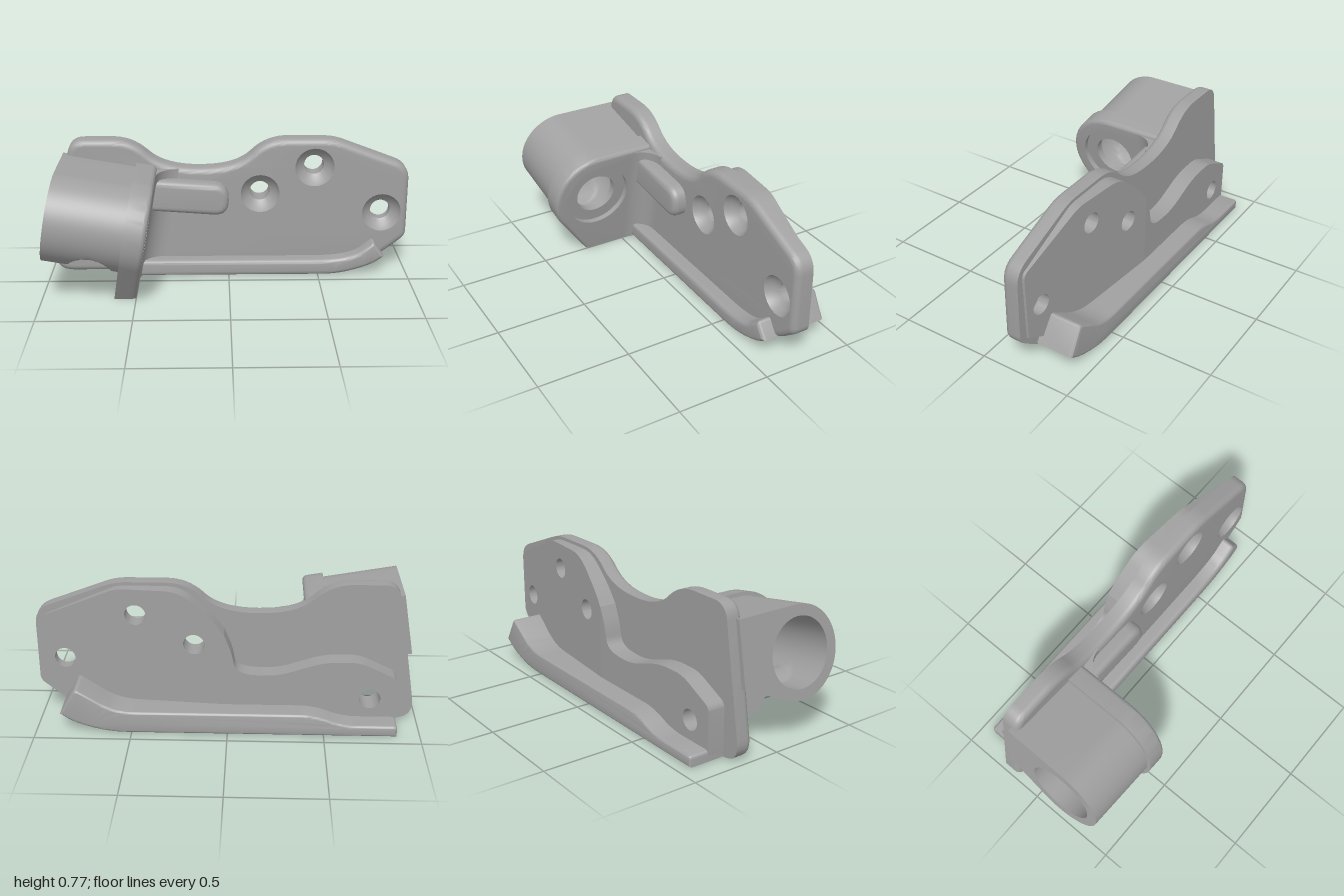
import * as THREE from 'three';
import { toCreasedNormals } from 'three/addons/utils/BufferGeometryUtils.js';

const metal = new THREE.MeshStandardMaterial({ color: 0xa0a0a0 });
metal.name = 'cast grey';

// Closed outline from corners [x, y, cornerRadius], counter-clockwise
function rounded(corners) {
  const out = [], n = corners.length;
  const add = (p) => {
    if (!out.length || out[out.length - 1].distanceTo(p) > 1e-4) out.push(p);
  };
  const V = corners.map(([x, y]) => new THREE.Vector2(x, y));
  corners.forEach(([, , r = 0], i) => {
    const p = V[i], a = V[(i + n - 1) % n], b = V[(i + 1) % n];
    if (!r) return add(p.clone());
    const da = p.distanceTo(a), db = p.distanceTo(b);
    const s = p.clone().lerp(a, Math.min(r / da, 0.49));
    const e = p.clone().lerp(b, Math.min(r / db, 0.49));
    const curve = new THREE.QuadraticBezierCurve(s, p, e);
    curve.getPoints(8).forEach(add);
  });
  if (out[0].distanceTo(out[out.length - 1]) < 1e-4) out.pop();
  return out;
}

// Move an outline inwards
function inset(pts, d) {
  const n = pts.length;
  const normal = (a, b) => new THREE.Vector2(b.y - a.y, a.x - b.x).normalize();
  return pts.map((p, i) => {
    const n1 = normal(pts[(i + n - 1) % n], p), n2 = normal(p, pts[(i + 1) % n]);
    const k = d / Math.max(0.4, 1 + n1.dot(n2));
    return new THREE.Vector2(p.x - (n1.x + n2.x) * k, p.y - (n1.y + n2.y) * k);
  });
}

const circle = (x, y, r, n = 40) => Array.from({ length: n }, (_, i) => {
  const a = -i / n * Math.PI * 2;
  return new THREE.Vector2(x + r * Math.cos(a), y + r * Math.sin(a));
});

// Solid between z0 and z1 with rounded back (r0) and front (r1) edges.
// Each hole is { x, y, profile: [[radius, z], ...] } from back to front.
function slab(name, outline, z0, z1, { r0 = 0, r1 = 0, holes = [], steps = 1, warp, matrix } = {}) {
  const pos = [], rings = [], N = 6;
  const put = (p, z) => pos.push(p.x, p.y, z);
  const strip = (list) => {
    for (let i = 0; i + 1 < list.length; i++) {
      const [A, za] = list[i], [B, zb] = list[i + 1];
      for (let j = 0; j < A.length; j++) {
        const k = (j + 1) % A.length;
        put(A[j], za); put(A[k], za); put(B[k], zb);
        put(A[j], za); put(B[k], zb); put(B[j], zb);
      }
    }
  };
  const edge = (i, r) => {
    const a = i / N * Math.PI / 2;
    return [r * (1 - Math.sin(a)), r * (1 - Math.cos(a))];
  };
  if (r0) for (let i = 0; i < N; i++) {
    const [d, h] = edge(i, r0);
    rings.push([inset(outline, d), z0 + h]);
  }
  for (let i = 0; i <= steps; i++) rings.push([outline, z0 + r0 + (z1 - r1 - z0 - r0) * i / steps]);
  if (r1) for (let i = N - 1; i >= 0; i--) {
    const [d, h] = edge(i, r1);
    rings.push([inset(outline, d), z1 - h]);
  }
  strip(rings);
  const bores = holes.map((h) => h.profile.map(([r, z]) => [circle(h.x, h.y, r), z]));
  bores.forEach(strip);
  const cap = ([contour, z], loops, flip) => {
    const all = [contour, ...loops].flat();
    for (const [a, b, c] of THREE.ShapeUtils.triangulateShape(contour.slice(), loops))
      (flip ? [a, c, b] : [a, b, c]).forEach((i) => put(all[i], z));
  };
  cap(rings[0], bores.map((b) => b[0][0]), true);
  cap(rings[rings.length - 1], bores.map((b) => b[b.length - 1][0]), false);

  const geo = new THREE.BufferGeometry();
  geo.setAttribute('position', new THREE.Float32BufferAttribute(pos, 3));
  if (matrix) geo.applyMatrix4(matrix);
  if (warp) {
    const P = geo.attributes.position, v = new THREE.Vector3();
    for (let i = 0; i < P.count; i++) {
      warp(v.fromBufferAttribute(P, i));
      P.setXYZ(i, v.x, v.y, v.z);
    }
  }
  const mesh = new THREE.Mesh(toCreasedNormals(geo, 0.6), metal);
  mesh.name = name;
  return mesh;
}

export function createModel() {
  const model = new THREE.Group();
  model.name = 'mountingBracket';
  const BACK = -0.235, FRONT = -0.14, PAD = -0.33;
  const screws = [[-0.74, 0.165], [0.175, 0.46], [0.475, 0.61], [0.855, 0.345]];

  // Main plate with countersunk screw holes
  const plate = rounded([
    [-0.995, 0, 0.12], [0.62, 0, 0.1], [0.84, 0.07, 0.1], [1, 0.2, 0.03], [1, 0.61, 0.08],
    [0.58, 0.768, 0.06], [0.21, 0.768, 0.11], [0.04, 0.605, 0.2], [-0.35, 0.605, 0.2],
    [-0.53, 0.768, 0.11], [-0.87, 0.768, 0.08]]);
  model.add(slab('plate', plate, BACK, FRONT, {
    r1: 0.035,
    holes: screws.map(([x, y]) => ({ x, y, profile: [[0.055, BACK], [0.055, -0.2], [0.088, -0.175], [0.108, FRONT]] })),
  }));

  // Raised pad behind the plate, level on one half and tapering on the other
  const padHole = ([x, y]) => ({ x, y, profile: [[0.055, PAD], [0.055, BACK]] });
  model.add(slab('levelPad', rounded([
    [-0.88, 0.01], [0.02, 0.01], [0.02, 0.52], [-0.02, 0.42, 0.05], [-0.04, 0.3, 0.1],
    [-0.25, 0.29, 0.08], [-0.5, 0.375, 0.08], [-0.68, 0.375, 0.05], [-0.88, 0.28, 0.03]]),
  PAD, BACK, { holes: [padHole(screws[0])] }));
  model.add(slab('taperedPad', rounded([
    [0.02, 0.01], [0.6, 0.01], [0.95, 0.2], [0.965, 0.58, 0.03], [0.57, 0.75, 0.04],
    [0.24, 0.75, 0.09], [0.08, 0.6, 0.06], [0.02, 0.52]]),
  PAD, BACK, {
    holes: screws.slice(1).map(padHole),
    warp: (v) => { v.z = BACK + (v.z - BACK) * (1 - (v.x - 0.02) / 0.93 * 0.85); },
  }));

  // Bottom rail: deep behind the plate, a low lip in front
  const railEnd = [[0.62, 0, 0.1], [0.8, 0.055, 0.08], [0.87, 0.105]];
  model.add(slab('backRail', rounded([
    [-0.88, 0], ...railEnd, [0.785, 0.25, 0.02], [0.58, 0.12, 0.1],
    [-0.45, 0.12, 0.08], [-0.6, 0.06, 0.08], [-0.88, 0.06, 0.02]]),
  -0.438, -0.2, { r0: 0.015 }));
  model.add(slab('frontLip', rounded([
    [-0.53, 0], ...railEnd, [0.81, 0.195, 0.02], [0.68, 0.09, 0.2], [-0.53, 0.09]]),
  -0.2, -0.062, { r1: 0.025 }));

  // Rounded stiffening rib beside the flange
  model.add(slab('rib', rounded([
    [-0.47, 0.385], [0, 0.35, 0.085], [0, 0.53, 0.085], [-0.47, 0.565]]), -0.2, -0.063, { r1: 0.035 }));

  // Tilted frame of the bore: local z runs along the axis
  const tilt = 0.174, cx = -0.435, cy = 0.367, cz = 0.178;
  const matrix = new THREE.Matrix4()
    .makeRotationFromEuler(new THREE.Euler(0, Math.PI / 2, -tilt, 'ZYX'))
    .setPosition(cx, cy, cz);
  const arc = (r, from, to, n = 32) => Array.from({ length: n + 1 }, (_, i) => {
    const a = (from + (to - from) * i / n) * Math.PI / 180;
    return new THREE.Vector2(r * Math.cos(a), r * Math.sin(a));
  });
  const pt = (x, y) => new THREE.Vector2(x, y);

  // Flange with counterbore, standing flat on the ground
  model.add(slab('flange', [pt(0.36, -0.37), pt(0.36, 0.26), ...arc(0.26, 90, 215), pt(-0.057, -0.37)],
    -0.115, 0, {
      r1: 0.025, matrix,
      holes: [{ x: 0, y: 0, profile: [[0.18, -0.115], [0.18, -0.075], [0.117, -0.075], [0.117, -0.03], [0.185, -0.03], [0.185, 0]] }],
      warp: (v) => { if (v.y < 0.05) { v.x -= v.y * Math.tan(tilt); v.y = 0; } },
    }));

  // Barrel, notched underneath to clear the screw head
  const boreSteps = Array.from({ length: 33 }, (_, i) => [0.18, -0.52 + 0.42 * i / 32]);
  model.add(slab('barrel', [pt(0.36, -0.1), pt(0.36, 0.238), ...arc(0.238, 90, 297, 48)],
    -0.52, -0.1, {
      matrix, steps: 32, holes: [{ x: 0, y: 0, profile: boreSteps }],
      warp: (v) => {
        const dx = v.x - screws[0][0], r = 0.12;
        if (Math.abs(dx) < r) v.y = Math.max(v.y, screws[0][1] + Math.sqrt(r * r - dx * dx));
      },
    }));

  // Concave fillet between the flange and the plate
  const R = 0.12;
  const cove = [pt(-0.03, 0.17), pt(R, 0.17), ...Array.from({ length: 13 }, (_, i) => {
    const a = i / 12 * Math.PI / 2;
    return pt(R - R * Math.sin(a), 0.02 + R * Math.cos(a));
  }), pt(-0.03, 0.02)].reverse();
  model.add(slab('flangeFillet', cove, 0, 0.605, {
    matrix: new THREE.Matrix4().makeRotationX(-Math.PI / 2),
    warp: (v) => { v.x += cx + (v.y - cy) * Math.tan(tilt); },
  }));

  return model;
}
